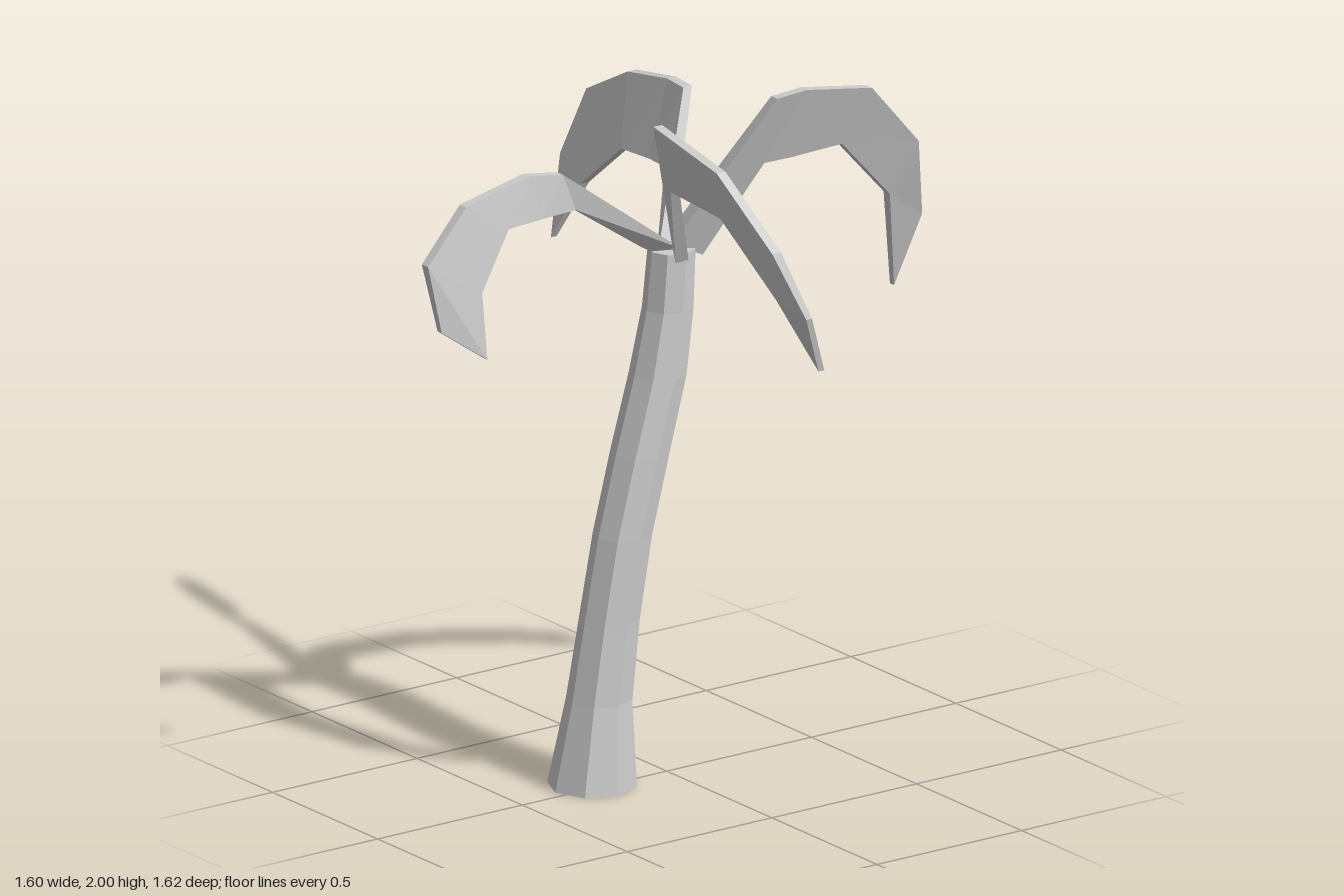
import * as THREE from 'three';

const material = new THREE.MeshStandardMaterial({ color: 0xcccccc, flatShading: true });

// Skin a list of equal-sized rings (clockwise about the path) and cap both ends
function loft(name, rings) {
  const n = rings[0].length;
  const last = (rings.length - 1) * n;
  const index = [];
  for (let i = 0; i < rings.length - 1; i++) {
    for (let j = 0; j < n; j++) {
      const a = i * n + j, b = i * n + (j + 1) % n;
      index.push(a, a + n, b + n, a, b + n, b);
    }
  }
  for (let j = 1; j < n - 1; j++) {
    index.push(0, j, j + 1, last, last + j + 1, last + j);
  }
  const indexed = new THREE.BufferGeometry();
  indexed.setAttribute('position', new THREE.Float32BufferAttribute(rings.flat(2), 3));
  indexed.setIndex(index);
  const geometry = indexed.toNonIndexed();
  geometry.computeVertexNormals();
  const mesh = new THREE.Mesh(geometry, material);
  mesh.name = name;
  return mesh;
}

// Bent eight-sided trunk: [height, centre x, radius]
function createTrunk() {
  const stations = [
    [0, -0.235, 0.127], [0.25, -0.21, 0.094], [0.48, -0.175, 0.086], [0.72, -0.13, 0.084],
    [0.95, -0.07, 0.084], [1.17, -0.008, 0.082], [1.36, 0.027, 0.073], [1.53, 0.04, 0.068],
  ];
  return loft('trunk', stations.map(([y, x, r]) =>
    Array.from({ length: 8 }, (_, k) => {
      const a = k * Math.PI / 4;
      return [x + r * Math.cos(a), y, -0.032 + r * Math.sin(a)];
    })));
}

// Drooping slab: each station pairs an upper edge point with a lower edge point
function createFrond(name, side, stations) {
  const rings = stations.map(([upper, lower], i) => {
    const t = i === 0 ? 0.045 : i === stations.length - 1 ? 0.02 : 0.03;
    const shift = (p, s) => p.map((v, k) => v + side[k] * t * s);
    return [upper, shift(upper, 1), lower, shift(lower, -1)];
  });
  return loft(name, rings);
}

export function createModel() {
  const palm = new THREE.Group();
  palm.name = 'palmTree';
  const crown = [0.04, 1.54, -0.03]; // where all fronds meet

  palm.add(
    createTrunk(),
    createFrond('leftFrond', [0, 0, -1], [
      [crown, [0.11, 1.51, -0.025]],
      [[0.245, 1.99, 0.19], [0.25, 1.78, 0.09]],
      [[0.34, 2.0, 0.2], [0.33, 1.785, 0.105]],
      [[0.55, 1.97, 0.22], [0.49, 1.8, 0.13]],
      [[0.73, 1.77, 0.195], [0.67, 1.61, 0.11]],
      [[0.8, 1.52, 0.115], [0.75, 1.3, 0.03]],
    ]),
    createFrond('frontFrond', [1, 0, 0], [
      [crown, [0.05, 1.51, 0.035]],
      [[-0.17, 1.985, 0.17], [-0.08, 1.78, 0.17]],
      [[-0.205, 1.95, 0.52], [-0.12, 1.79, 0.46]],
      [[-0.18, 1.77, 0.75], [-0.1, 1.61, 0.7]],
      [[-0.11, 1.58, 0.815], [-0.015, 1.4, 0.77]],
    ]),
    createFrond('backFrond', [-1, 0, 0], [
      [crown, [0.04, 1.51, -0.1]],
      [[0.24, 1.92, -0.21], [0.145, 1.7, -0.21]],
      [[0.25, 1.92, -0.3], [0.15, 1.7, -0.29]],
      [[0.265, 1.88, -0.51], [0.155, 1.69, -0.43]],
      [[0.275, 1.77, -0.72], [0.16, 1.53, -0.63]],
      [[0.24, 1.56, -0.81], [0.13, 1.35, -0.73]],
    ]),
    createFrond('rightFrond', [0, 0, 1], [
      [crown, [-0.025, 1.53, -0.04]],
      [[-0.3, 1.8, -0.11], [-0.26, 1.69, -0.075]],
      [[-0.42, 1.82, -0.107], [-0.38, 1.69, -0.065]],
      [[-0.65, 1.78, -0.09], [-0.51, 1.69, -0.05]],
      [[-0.8, 1.64, -0.065], [-0.62, 1.53, -0.025]],
      [[-0.76, 1.44, -0.045], [-0.62, 1.34, 0]],
    ]),
  );
  return palm;
}
